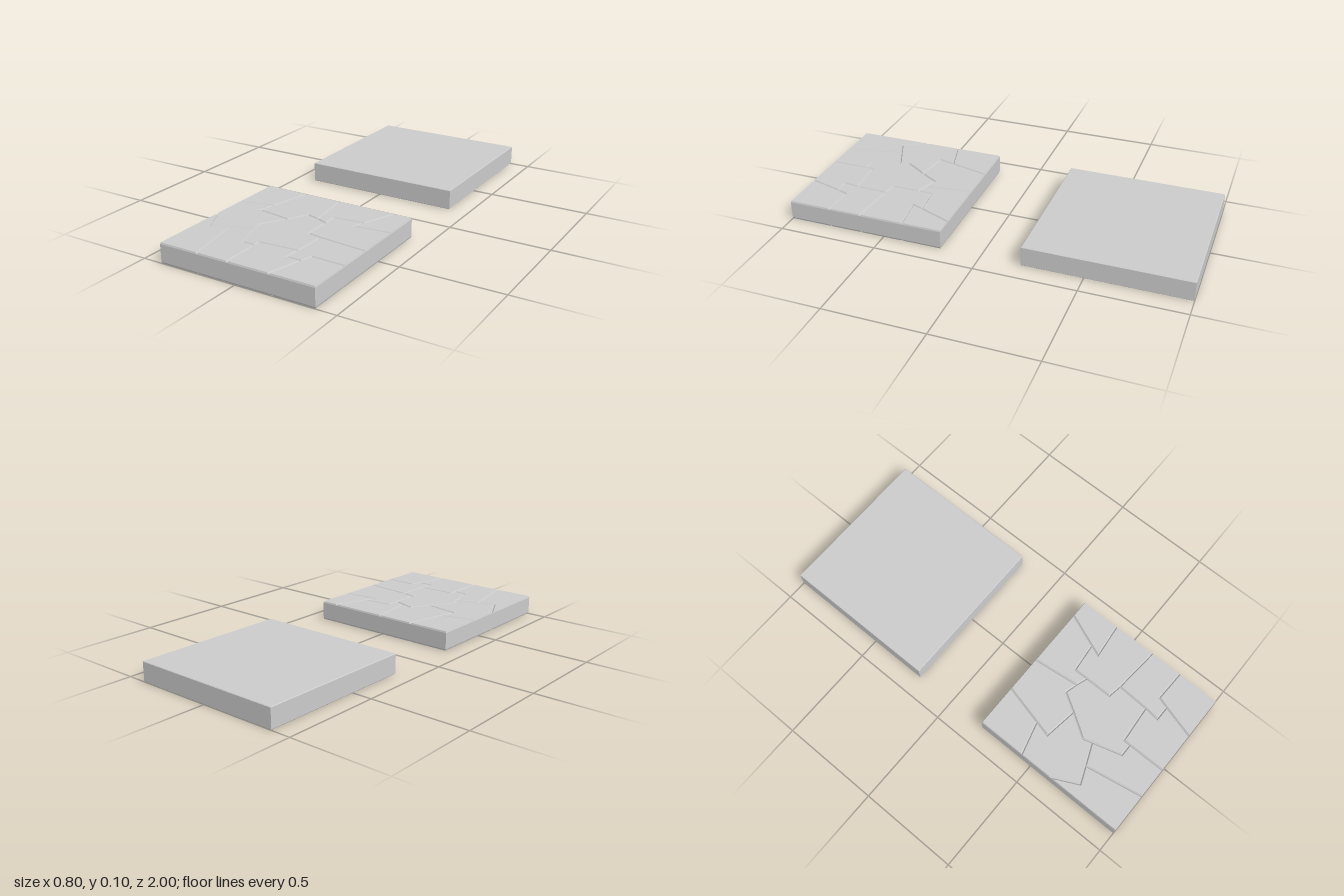
import * as THREE from 'three';

const HEIGHT = 0.1, SIZE = 0.8;
const GROOVE = 0.006, RIM = 0.003, DEPTH = 0.008;

// Crack corners as [x, z]
const corners = [
  [-0.4, 0.2], [-0.18, 0.2], [0.01, 0.2], [0.31, 0.2], [0.4, 0.2],
  [-0.4, 0.445], [-0.23, 0.4], [-0.25, 0.48], [-0.08, 0.505], [-0.025, 0.415],
  [0.037, 0.432], [0.093, 0.452], [0.093, 0.38], [0.243, 0.365], [0.222, 0.42],
  [0.4, 0.4], [0.093, 0.588], [0.163, 0.6], [0.4, 0.62], [-0.4, 0.615],
  [-0.335, 0.745], [-0.25, 0.71], [-0.142, 0.665], [-0.155, 0.62], [-0.1, 0.81],
  [-0.037, 0.81], [-0.037, 0.775], [0.155, 0.76], [0.147, 0.835], [0.222, 0.835],
  [0.24, 0.78], [0.4, 0.785], [-0.4, 1], [-0.197, 1], [-0.037, 1],
  [0.175, 1], [0.4, 1],
];

// Each stone is a loop of corner indices
const stones = [
  [0, 1, 6, 5],
  [1, 2, 10, 9, 8, 7, 6],
  [2, 3, 13, 12, 11, 10],
  [3, 4, 15, 14, 13],
  [5, 6, 7, 8, 23, 22, 21, 20, 19],
  [9, 10, 11, 16, 17, 27, 26, 25, 24, 22, 23, 8],
  [12, 13, 14, 15, 18, 17, 16, 11],
  [17, 18, 31, 30, 29, 28, 27],
  [19, 20, 21, 33, 32],
  [21, 22, 24, 25, 34, 33],
  [25, 26, 27, 28, 29, 35, 34],
  [29, 30, 31, 36, 35],
];

// The underside cracks meet the front edge at slightly different places
const lowerCorners = corners.map((c) => [...c]);
lowerCorners[34][0] = -0.06;
lowerCorners[35][0] = 0.187;

const material = new THREE.MeshStandardMaterial({ color: 0xcccccc, flatShading: true });

const onBorder = (a, b) =>
  (a[0] === b[0] && Math.abs(a[0]) === 0.4) ||
  (a[1] === b[1] && [0.2, 1, -0.2, -1].includes(a[1]));

// Move every edge of a loop inward, less along the slab border than along a crack
function insetLoop(loop) {
  const edges = loop.map((a, i) => {
    const b = loop[(i + 1) % loop.length];
    const len = Math.hypot(b[0] - a[0], b[1] - a[1]);
    return {
      n: [-(b[1] - a[1]) / len, (b[0] - a[0]) / len],
      d: onBorder(a, b) ? RIM : GROOVE,
    };
  });
  return loop.map((p, i) => {
    const e = edges[(i + loop.length - 1) % loop.length], f = edges[i];
    const det = e.n[0] * f.n[1] - e.n[1] * f.n[0];
    if (Math.abs(det) < 0.1) return [p[0] + f.n[0] * f.d, p[1] + f.n[1] * f.d];
    return [
      p[0] + (e.d * f.n[1] - f.d * e.n[1]) / det,
      p[1] + (f.d * e.n[0] - e.d * f.n[0]) / det,
    ];
  });
}

// A flat face with bevelled sides, facing up or (flipped) down
function bevelledFace(name, loop, depth, down) {
  const n = loop.length, inner = insetLoop(loop);
  const level = (y) => (down ? HEIGHT - y : y);
  const positions = [
    ...loop.flatMap(([x, z]) => [x, level(HEIGHT - depth), z]),
    ...inner.flatMap(([x, z]) => [x, level(HEIGHT), z]),
  ];
  const triangles = [];
  for (let i = 0; i < n; i++) {
    const j = (i + 1) % n;
    triangles.push([i, n + i, j], [j, n + i, n + j]);
  }
  const flat = inner.map(([x, z]) => new THREE.Vector2(x, z));
  for (const [a, b, c] of THREE.ShapeUtils.triangulateShape(flat, [])) {
    const ccw = (flat[b].x - flat[a].x) * (flat[c].y - flat[a].y)
      - (flat[b].y - flat[a].y) * (flat[c].x - flat[a].x) > 0;
    triangles.push(ccw ? [n + a, n + c, n + b] : [n + a, n + b, n + c]);
  }
  const geometry = new THREE.BufferGeometry();
  geometry.setAttribute('position', new THREE.Float32BufferAttribute(positions, 3));
  geometry.setIndex(triangles.flatMap(([a, b, c]) => (down ? [a, c, b] : [a, b, c])));
  const result = geometry.toNonIndexed();
  result.computeVertexNormals();
  const mesh = new THREE.Mesh(result, material);
  mesh.name = name;
  return mesh;
}

// Four upright sides between the bevels
function slabSides(z, depth) {
  const geometry = new THREE.CylinderGeometry(
    SIZE / Math.SQRT2, SIZE / Math.SQRT2, HEIGHT - 2 * depth, 4, 1, true);
  geometry.rotateY(Math.PI / 4);
  const mesh = new THREE.Mesh(geometry, material);
  mesh.position.set(0, HEIGHT / 2, z);
  mesh.name = 'slabSides';
  return mesh;
}

export function createModel() {
  const model = new THREE.Group();
  model.name = 'pavingSlabs';

  // Cracked slab, with stones on both faces
  const cracked = new THREE.Group();
  cracked.name = 'crackedSlab';
  cracked.add(slabSides(0.6, DEPTH));
  for (const stone of stones) {
    cracked.add(bevelledFace('topStone', stone.map((i) => corners[i]), DEPTH, false));
    cracked.add(bevelledFace('bottomStone', stone.map((i) => lowerCorners[i]), DEPTH, true));
  }

  // Plain slab
  const plain = new THREE.Group();
  plain.name = 'plainSlab';
  const square = [[-0.4, -1], [0.4, -1], [0.4, -0.2], [-0.4, -0.2]];
  plain.add(
    slabSides(-0.6, RIM),
    bevelledFace('topFace', square, RIM, false),
    bevelledFace('bottomFace', square, RIM, true),
  );

  model.add(cracked, plain);
  return model;
}
